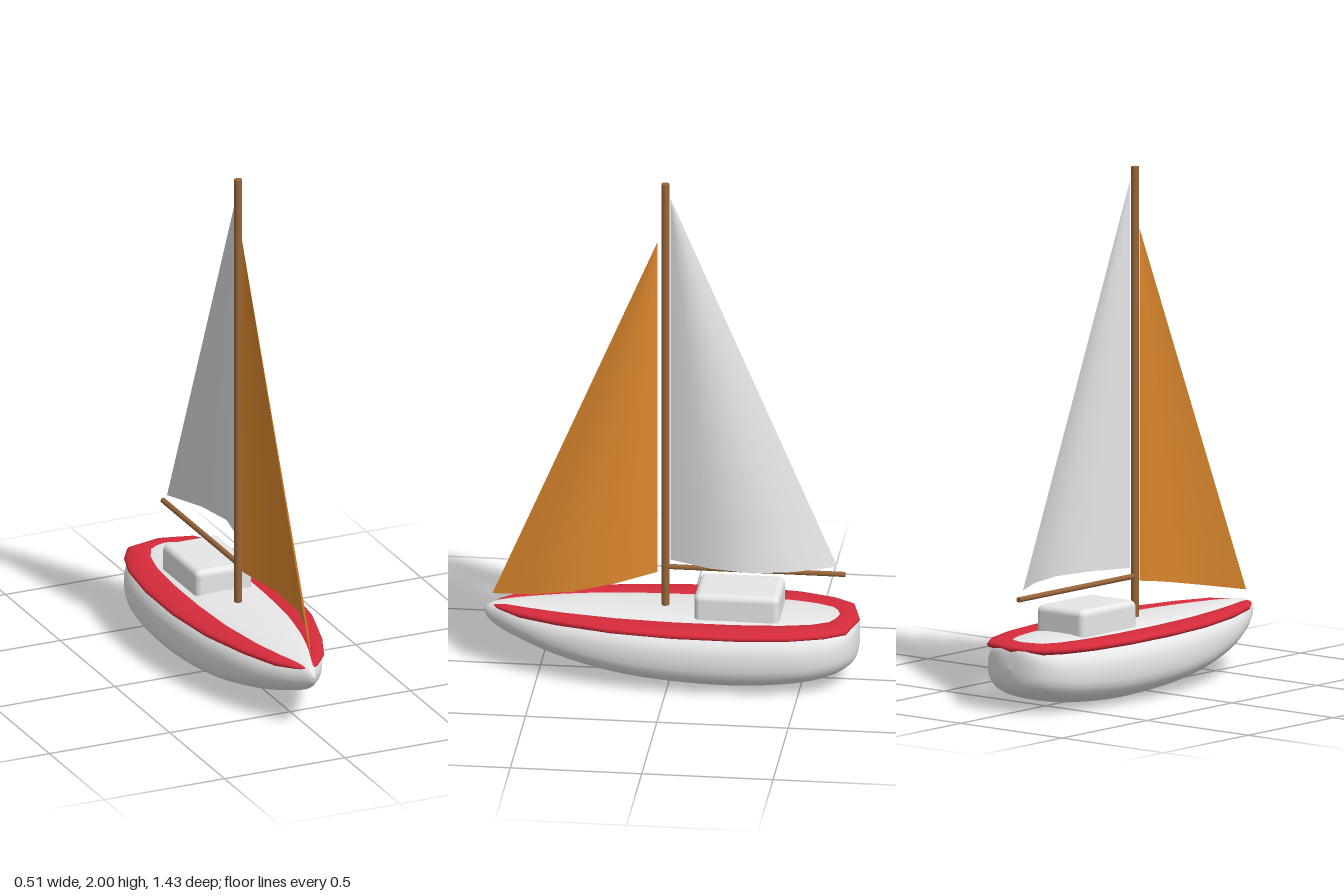
import * as THREE from 'three';
import { RoundedBoxGeometry } from 'three/addons/geometries/RoundedBoxGeometry.js';

const material = (name, color, side = THREE.FrontSide) => {
  const m = new THREE.MeshStandardMaterial({ color, side });
  m.name = name;
  return m;
};

// Skin a list of closed cross-sections; loop joins the last section to the first.
function loft(rings, loop = false) {
  const n = rings[0].length, index = [];
  for (let i = 0; i < rings.length - (loop ? 0 : 1); i++) {
    const k = (i + 1) % rings.length;
    for (let j = 0; j < n; j++) {
      const j2 = (j + 1) % n;
      const a = i * n + j, b = i * n + j2, c = k * n + j, d = k * n + j2;
      index.push(a, c, b, b, c, d);
    }
  }
  const g = new THREE.BufferGeometry().setFromPoints(rings.flat());
  g.setIndex(index);
  g.computeVertexNormals();
  return g;
}

// Hull: superellipse sections from bow to stern.
function hullGeometry() {
  // z, half width, bottom, top
  const stations = [
    [0.716, 0, 0.22, 0.22], [0.7, 0.018, 0.187, 0.242], [0.66, 0.045, 0.155, 0.257],
    [0.58, 0.095, 0.12, 0.265], [0.43, 0.16, 0.073, 0.27], [0.21, 0.215, 0.03, 0.272],
    [0, 0.24, 0.008, 0.272], [-0.25, 0.245, 0, 0.272], [-0.47, 0.228, 0.015, 0.27],
    [-0.6, 0.19, 0.04, 0.265], [-0.67, 0.14, 0.07, 0.26], [-0.705, 0.075, 0.105, 0.245],
    [-0.716, 0, 0.17, 0.17],
  ];
  const spline = (pick) => new THREE.CatmullRomCurve3(
    stations.map((s) => new THREE.Vector3(...pick(s))), false, 'catmullrom', 0.5);
  const plan = spline(([z, w]) => [z, w, 0]);
  const profile = spline(([z, , b, t]) => [z, b, t]);
  const rings = [], steps = 48, around = 40;
  for (let i = 0; i <= steps; i++) {
    const { x: z, y: w } = plan.getPoint(i / steps);
    const { y: bottom, z: top } = profile.getPoint(i / steps);
    const power = 2 / THREE.MathUtils.lerp(2.6, 2, THREE.MathUtils.smoothstep(z, 0.2, 0.7));
    const bend = (v) => Math.sign(v) * Math.abs(v) ** power;
    rings.push(Array.from({ length: around }, (_, j) => {
      const a = (j / around) * Math.PI * 2;
      return new THREE.Vector3(Math.max(w, 0) * bend(Math.cos(a)),
        (top + bottom) / 2 + ((top - bottom) / 2) * bend(Math.sin(a)), z);
    }));
  }
  return loft(rings);
}

// Rail: flattened tube around the deck, buried in the nose at the bow.
function railGeometry() {
  // outer x, outer z, inner x, inner z, half height
  const half = [
    [0, 0.69, 0, 0.63, 0.004], [0.043, 0.66, 0.022, 0.6, 0.011], [0.105, 0.58, 0.052, 0.53, 0.018],
    [0.165, 0.43, 0.083, 0.39, 0.02], [0.225, 0.21, 0.108, 0.19, 0.02],
    [0.253, -0.03, 0.119, -0.03, 0.02], [0.253, -0.28, 0.119, -0.25, 0.02],
    [0.23, -0.47, 0.108, -0.42, 0.02], [0.19, -0.6, 0.088, -0.53, 0.02],
    [0.14, -0.68, 0.058, -0.59, 0.02], [0, -0.716, 0, -0.605, 0.02],
  ];
  const mirrored = half.slice(1, -1).reverse().map(([xo, zo, xi, zi, h]) => [-xo, zo, -xi, zi, h]);
  const around = 14;
  const rings = [...half, ...mirrored].map(([xo, zo, xi, zi, h]) =>
    Array.from({ length: around }, (_, j) => {
      const a = (j / around) * Math.PI * 2, t = (1 + Math.cos(a)) / 2;
      return new THREE.Vector3(xi + (xo - xi) * t, 0.245 + h * Math.sin(a), zi + (zo - zi) * t);
    }));
  return loft(rings, true);
}

// Sail: triangle whose belly bulges toward +x and fades to the head.
function sailGeometry(head, tack, clew, belly) {
  const g = new THREE.PlaneGeometry(1, 1, 4, 8);
  const p = g.attributes.position, foot = new THREE.Vector3();
  for (let i = 0; i < p.count; i++) {
    const u = p.getX(i) + 0.5, v = p.getY(i) + 0.5;
    foot.lerpVectors(tack, clew, u);
    foot.x += belly * Math.sin(Math.PI * u);
    foot.lerp(head, v);
    p.setXYZ(i, foot.x, foot.y, foot.z);
  }
  g.computeVertexNormals();
  return g;
}

export function createModel() {
  const boat = new THREE.Group();
  boat.name = 'sailboat';
  const white = material('white paint', 0xeeeeee);
  const red = material('red trim', 0xd62b3b);
  const wood = material('brown wood', 0x99663a);
  const canvas = material('white canvas', 0xe8e8e8, THREE.DoubleSide);
  const orange = material('orange canvas', 0xe08a2e, THREE.DoubleSide);

  const add = (name, geometry, mat, x = 0, y = 0, z = 0) => {
    const mesh = new THREE.Mesh(geometry, mat);
    mesh.name = name;
    mesh.position.set(x, y, z);
    boat.add(mesh);
    return mesh;
  };
  const v = (x, y, z) => new THREE.Vector3(x, y, z);

  add('hull', hullGeometry(), white);
  add('rail', railGeometry(), red);
  add('cabin', new RoundedBoxGeometry(0.234, 0.145, 0.325, 4, 0.025), white, 0, 0.2925, -0.258);

  // Spars
  add('mast', new THREE.CylinderGeometry(0.015, 0.015, 1.76, 10), wood, 0, 1.12, 0.025);
  add('boom', new THREE.CylinderGeometry(0.0105, 0.0105, 0.68, 8), wood, 0, 0.428, -0.32)
    .rotation.x = Math.PI / 2;

  // Sails
  add('mainsail', sailGeometry(v(0.008, 1.945, 0.005), v(0.008, 0.46, 0.005), v(0.003, 0.46, -0.63), 0.1), canvas);
  add('jib', sailGeometry(v(0.003, 1.76, 0.055), v(0.003, 0.405, 0.055), v(0.003, 0.287, 0.683), 0.09), orange);

  return boat;
}
